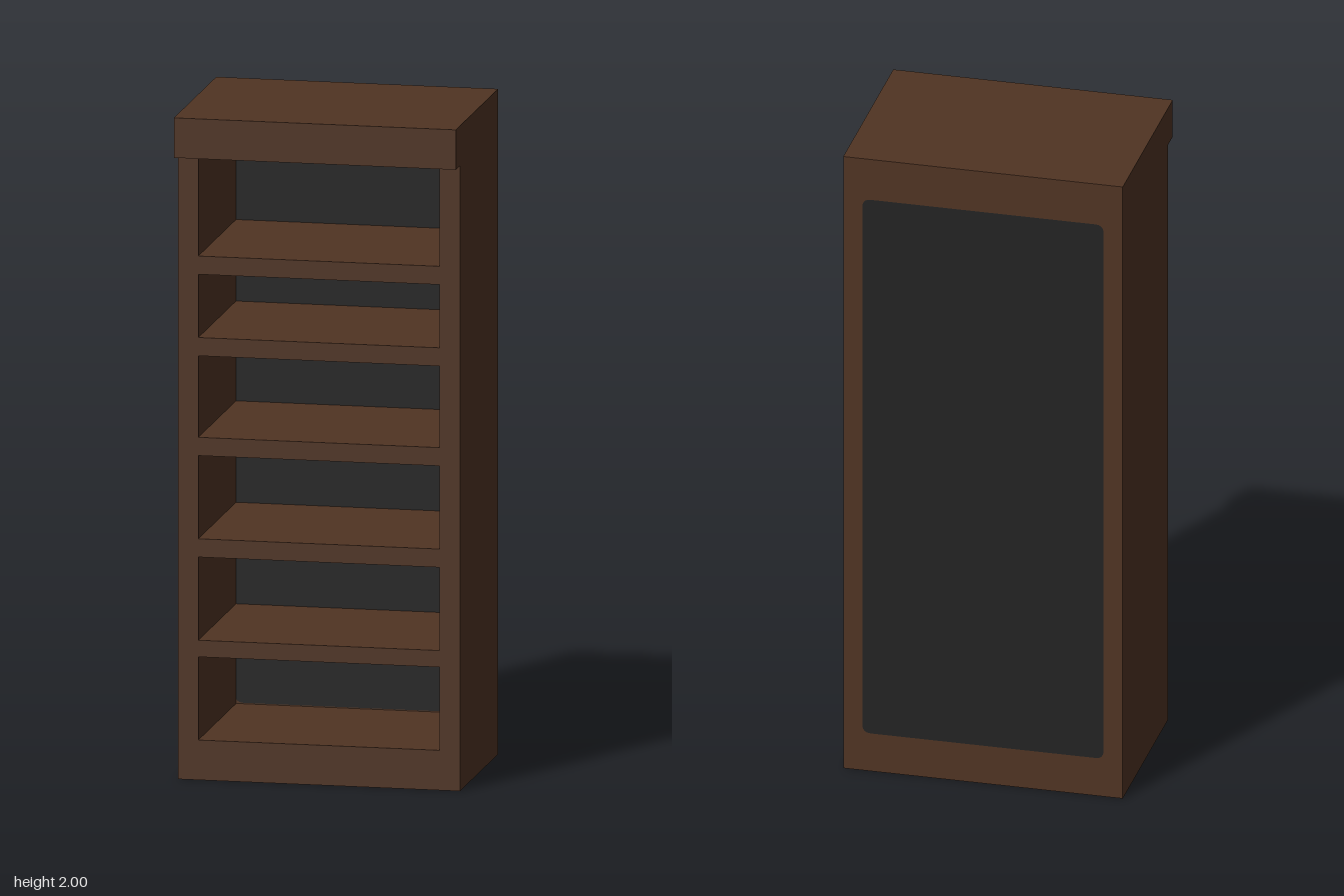
import * as THREE from 'three';

const W = 0.424, INNER = 0.363, BACK = -0.303, FRONT = 0.243, TOP_Y = 1.88, T = 0.005;

// Openings of the six compartments: [bottom, top]
const OPENINGS = [
  [0.12, 0.37], [0.42, 0.67], [0.725, 0.975],
  [1.03, 1.275], [1.33, 1.52], [1.575, TOP_Y],
];

function rect(target, x0, y0, x1, y1) {
  target.moveTo(x0, y0);
  target.lineTo(x1, y0);
  target.lineTo(x1, y1);
  target.lineTo(x0, y1);
  target.closePath();
  return target;
}

function roundedRect(target, x0, y0, x1, y1, r) {
  target.moveTo(x0 + r, y0);
  target.lineTo(x1 - r, y0);
  target.quadraticCurveTo(x1, y0, x1, y0 + r);
  target.lineTo(x1, y1 - r);
  target.quadraticCurveTo(x1, y1, x1 - r, y1);
  target.lineTo(x0 + r, y1);
  target.quadraticCurveTo(x0, y1, x0, y1 - r);
  target.lineTo(x0, y0 + r);
  target.quadraticCurveTo(x0, y0, x0 + r, y0);
  return target;
}

export function createModel() {
  const group = new THREE.Group();
  const wood = new THREE.MeshStandardMaterial({ color: 0x503423 });
  wood.name = 'darkWood';
  const black = new THREE.MeshStandardMaterial({ color: 0x232323 });
  black.name = 'blackPanel';

  const add = (name, geometry, material) => {
    const mesh = new THREE.Mesh(geometry, material);
    mesh.name = name;
    group.add(mesh);
    return mesh;
  };
  // Box given by its limits on each axis
  const box = (name, x0, x1, y0, y1, z0, z1) =>
    add(name, new THREE.BoxGeometry(x1 - x0, y1 - y0, z1 - z0), wood)
      .position.set((x0 + x1) / 2, (y0 + y1) / 2, (z0 + z1) / 2);
  // Thin upright plate, starting at z
  const plate = (name, shape, z, depth, material) => {
    const geometry = new THREE.ExtrudeGeometry(shape, { depth, bevelEnabled: false, curveSegments: 4 });
    add(name, geometry, material).position.z = z;
  };

  // Top with front overhang
  box('top', -W, W, TOP_Y, 2, BACK, -BACK);

  // Hollow side panels, open underneath
  for (const [side, s] of [['left', 1], ['right', -1]]) {
    const wall = (name, a, b) =>
      box(side + name, Math.min(s * a, s * b), Math.max(s * a, s * b), 0, TOP_Y, BACK + T, FRONT - T);
    wall('OuterWall', W - T, W);
    wall('InnerWall', INNER, INNER + T);
  }

  // Front frame with one hole for each compartment
  const front = rect(new THREE.Shape(), -W, 0, W, TOP_Y);
  for (const [y0, y1] of OPENINGS) {
    // the highest opening stops just short of the edge of the frame
    front.holes.push(rect(new THREE.Path(), -INNER, y0, INNER, Math.min(y1, TOP_Y - 0.001)));
  }
  plate('frontFrame', front, FRONT - T, T, wood);

  // Shelves; the lowest is a thin board over the hollow base
  OPENINGS.forEach(([floor], i) => {
    const under = i ? OPENINGS[i - 1][1] : floor - T;
    box('shelf' + (i + 1), -INNER, INNER, under, floor, BACK + T, FRONT - T);
  });

  // Back frame and the black back panel set into it
  const bounds = [-0.366, 0.123, 0.366, 1.868, 0.025];
  const back = rect(new THREE.Shape(), -W, 0, W, TOP_Y);
  back.holes.push(roundedRect(new THREE.Path(), ...bounds));
  plate('backFrame', back, BACK, T, wood);
  plate('backPanel', roundedRect(new THREE.Shape(), ...bounds), BACK, T + 0.001, black);

  return group;
}
